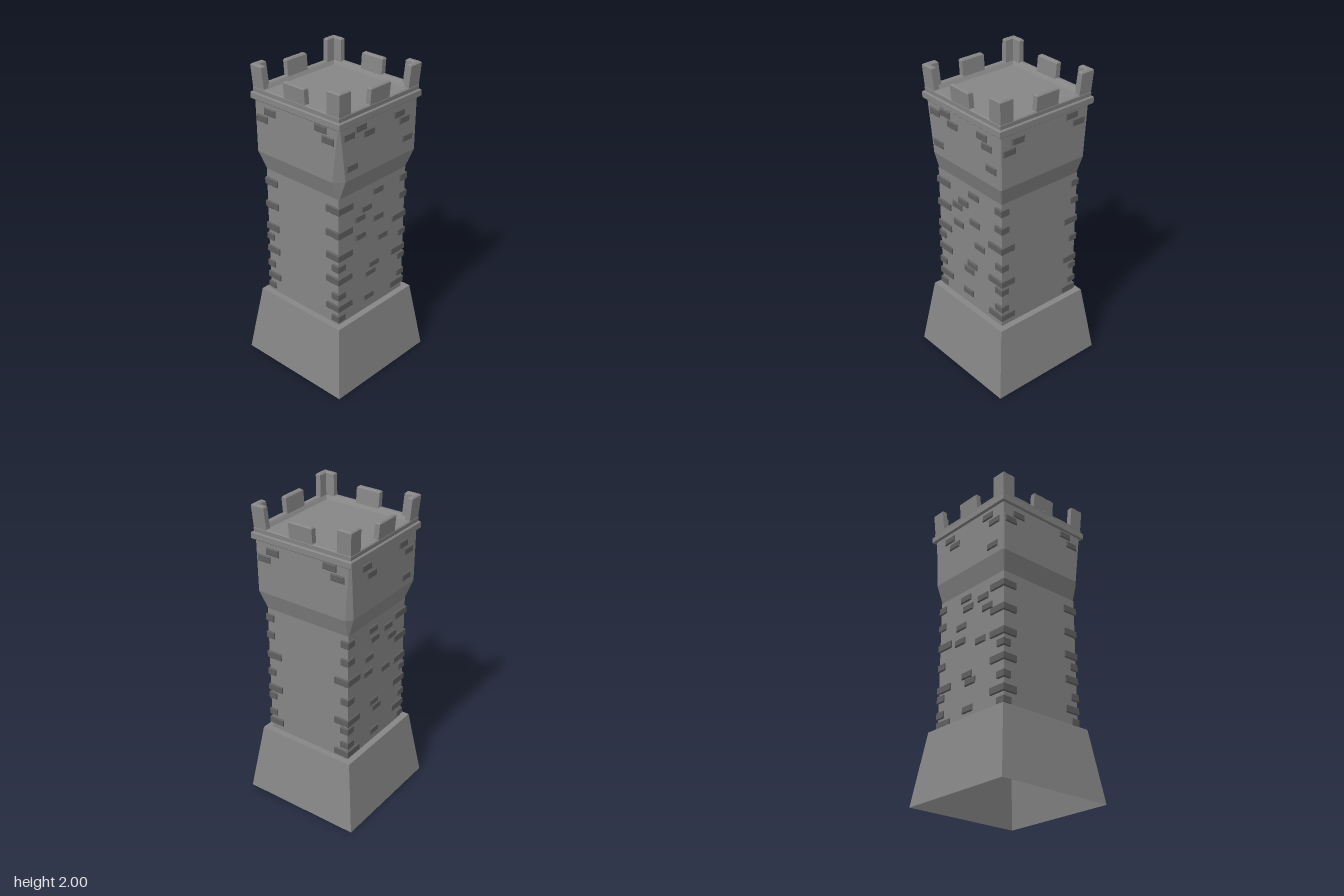
import * as THREE from 'three';

const stone = (color) => new THREE.MeshStandardMaterial({ color, flatShading: true, side: THREE.DoubleSide });
const wallStone = stone(0x868686);
const brickStone = stone(0x606060);

function add(parent, geometry, name, material = wallStone) {
  const mesh = new THREE.Mesh(geometry, material);
  mesh.name = name;
  parent.add(mesh);
  return mesh;
}

// Stacked square rings [y, half width, front-left-side cut, back-right-side cut, cut of the other corners]
function loft(rings) {
  const pos = [];
  const rows = rings.map(([y, h, a = 0, b = 0, c = 0]) => [
    [h - c, h], [h, h - c], [h, -h + b], [h - b, -h],
    [-h + c, -h], [-h, -h + c], [-h, h - a], [-h + a, h],
  ].map(([x, z]) => [x, y, z]));
  for (let r = 0; r < rows.length - 1; r++) {
    for (let i = 0; i < 8; i++) {
      const j = (i + 1) % 8;
      const p = rows[r][i], q = rows[r][j], s = rows[r + 1][j], t = rows[r + 1][i];
      pos.push(...p, ...q, ...s, ...p, ...s, ...t);
    }
  }
  const g = new THREE.BufferGeometry();
  g.setAttribute('position', new THREE.Float32BufferAttribute(pos, 3));
  g.computeVertexNormals();
  return g;
}

// Extruded outline with chamfered ends, spanning z = 0 to depth
function bevelled(points, depth, bevel) {
  const shape = new THREE.Shape(points.map(([x, y]) => new THREE.Vector2(x, y)));
  return new THREE.ExtrudeGeometry(shape, {
    depth: depth - 2 * bevel, bevelEnabled: true, bevelSegments: 1,
    bevelThickness: bevel, bevelSize: bevel, bevelOffset: -bevel,
  }).translate(0, 0, bevel);
}

// L outline around a corner: outer and inner faces, ends of the two arms
const cornerL = (outer, inner, endX, endY) => [
  [endX, -outer], [outer, -outer], [outer, -endY], [inner, -endY], [inner, -inner], [endX, -inner],
];

// Upright merlon that leans slightly outward toward its top
function merlon(points, y0, y1) {
  const g = bevelled(points, y1 - y0, 0.008).rotateX(-Math.PI / 2).translate(0, y0, 0);
  const p = g.attributes.position;
  for (let i = 0; i < p.count; i++) {
    const lean = 0.01 * (p.getY(i) - y0) / (y1 - y0);
    if (p.getX(i) > 0.2) p.setX(i, p.getX(i) + lean);
    if (p.getZ(i) > 0.2) p.setZ(i, p.getZ(i) + lean);
  }
  g.computeVertexNormals();
  return g;
}

export function createModel() {
  const tower = new THREE.Group();
  tower.name = 'tower';
  const SHAFT = 0.297, UPPER = 0.335;

  // Hollow sloping plinth, open below, with a ledge around the shaft
  add(tower, loft([[0, 0.404], [0.46, 0.338], [0.46, 0.29]]), 'base');
  add(tower, loft([[0.44, SHAFT], [1.33, SHAFT]]), 'shaft');

  // Flared upper storey, two of its corners deeply chamfered
  add(tower, loft([
    [1.33, SHAFT, 0.008, 0.006, 0.003], [1.45, UPPER, 0.053, 0.034, 0.01], [1.79, UPPER, 0.008, 0.012, 0.004],
  ]), 'upperStorey');

  // Cornice, low parapet and roof floor in one profile
  add(tower, loft([
    [1.785, 0.33], [1.785, 0.347], [1.79, 0.352], [1.825, 0.352], [1.83, 0.347], [1.83, 0.339],
    [1.855, 0.341], [1.862, 0.335], [1.862, 0.311], [1.855, 0.304], [1.835, 0.29], [1.835, 0],
  ]), 'corniceAndRoof');

  // Merlons: an L at each corner and a shorter block on each side
  const o = 0.338, n = 0.304;
  const corner = merlon(cornerL(o, n, 0.245, 0.246), 1.84, 2.0);
  for (let k = 0; k < 4; k++) {
    add(tower, corner, 'cornerMerlon').rotation.y = k * Math.PI / 2;
    const c = [-0.006, 0, 0.006, 0][k], w = 0.082;
    const middle = merlon([[c - w, -o], [c + w, -o], [c + w, -n], [c - w, -n]], 1.84, 1.96);
    add(tower, middle, 'middleMerlon').rotation.y = k * Math.PI / 2;
  }

  // Loose bricks per wall, as [across, y], seen facing that wall
  const sideUpper = [[-0.21, 1.73], [-0.275, 1.675], [0.195, 1.755], [0.25, 1.7]];
  const walls = [
    { name: 'front', angle: 0,
      shaft: [[0.043, 1.27], [-0.058, 1.187], [-0.115, 1.14], [0.05, 1.085], [-0.108, 1.015],
        [0.095, 0.935], [0.018, 0.77], [-0.013, 0.717], [-0.025, 0.547]],
      upper: [[-0.255, 1.725], [-0.158, 1.748], [-0.09, 1.698], [0.173, 1.728], [0.217, 1.678],
        [0.252, 1.553], [-0.23, 1.528]] },
    { name: 'right', angle: Math.PI / 2, shaft: [], upper: sideUpper },
    { name: 'back', angle: Math.PI,
      shaft: [[-0.05, 1.27], [-0.03, 1.2], [0.11, 1.22], [-0.09, 1.09], [0.15, 1.14],
        [-0.1, 0.99], [0.09, 0.94], [-0.03, 0.75], [0, 0.7], [-0.02, 0.53]],
      upper: [[-0.18, 1.735], [-0.13, 1.675], [0.19, 1.74], [0.25, 1.68], [0.235, 1.515]] },
    { name: 'left', angle: -Math.PI / 2, shaft: [], upper: sideUpper },
  ];
  const bw = 0.046, bh = 0.022;
  const brick = bevelled([[-bw, -bh], [bw, -bh], [bw, bh], [-bw, bh]], 0.016, 0.005);
  for (const wall of walls) {
    const group = new THREE.Group();
    group.name = wall.name + 'Bricks';
    group.rotation.y = wall.angle;
    tower.add(group);
    for (const [x, y] of wall.shaft) add(group, brick, 'shaftBrick', brickStone).position.set(x, y, SHAFT - 0.006);
    for (const [x, y] of wall.upper) add(group, brick, 'upperBrick', brickStone).position.set(x, y, UPPER - 0.008);
  }

  // Quoins wrapped around the shaft corners: [y, is long]
  const quoinsA = [[1.25, 1], [1.09, 1], [0.935, 1], [0.86, 0], [0.77, 1], [0.66, 0], [0.575, 1], [0.5, 0]];
  const quoinsB = [[1.27, 0], [1.15, 0], [1.01, 1], [0.885, 0], [0.77, 1], [0.71, 0], [0.585, 0], [0.52, 1]];
  const quoinsC = [[1.27, 0], [1.15, 0], [1.01, 1], [0.875, 0], [0.725, 1], [0.665, 0], [0.56, 0], [0.495, 1]];
  const face = SHAFT + 0.009, height = 0.05;
  const quoin = [[0.064, 0.058], [0.124, 0.104]].map(([w, d]) =>
    bevelled(cornerL(face, SHAFT - 0.005, face - w, face - d), height, 0.005)
      .rotateX(-Math.PI / 2).translate(0, -height / 2, 0));
  for (const [list, sx, sz] of [[quoinsB, 1, 1], [quoinsC, 1, -1], [quoinsA, -1, 1], [quoinsA, -1, -1]]) {
    const group = new THREE.Group();
    group.name = 'cornerQuoins';
    group.scale.set(sx, 1, sz);
    tower.add(group);
    for (const [y, long] of list) add(group, quoin[long], 'quoin', brickStone).position.y = y;
  }
  return tower;
}
